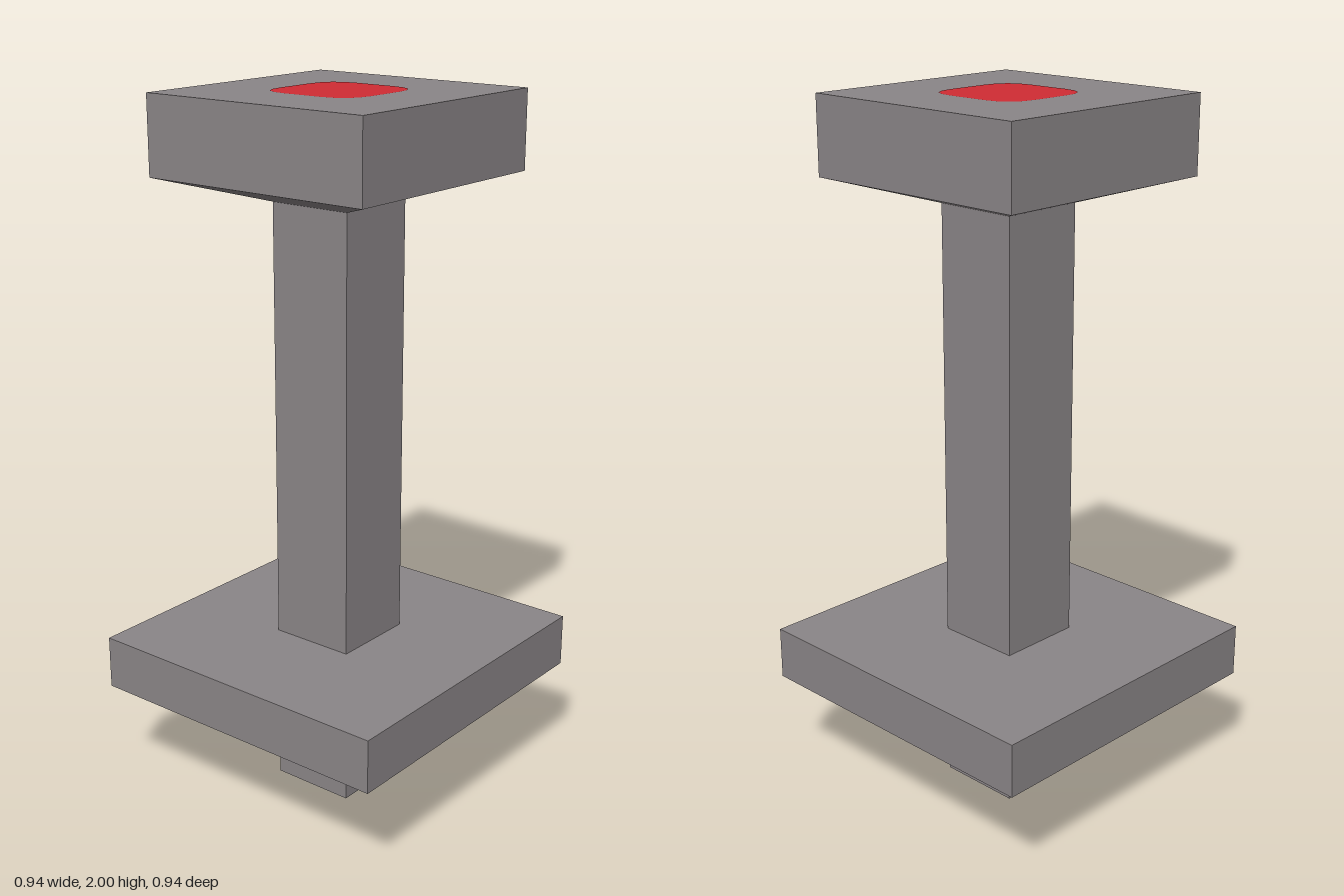
import * as THREE from 'three';

export function createModel() {
  const group = new THREE.Group();
  const stone = new THREE.MeshStandardMaterial({ color: 0x8a8587, flatShading: true });
  const red = new THREE.MeshStandardMaterial({ color: 0xd02c33 });

  const add = (name, geometry, material, y) => {
    const mesh = new THREE.Mesh(geometry, material);
    mesh.name = name;
    mesh.position.y = y;
    group.add(mesh);
    return mesh;
  };
  // Square block given by its half width and its bottom and top heights
  const block = (name, half, y0, y1) =>
    add(name, new THREE.BoxGeometry(half * 2, y1 - y0, half * 2), stone, (y0 + y1) / 2);

  block('post', 0.125, 0, 1.713);
  block('basePlate', 0.47, 0.312, 0.465);
  block('head', 0.352, 1.782, 2);

  // Four-sided flare between post and head
  const flare = new THREE.CylinderGeometry(
    0.352 * Math.SQRT2, 0.125 * Math.SQRT2, 1.782 - 1.713, 4, 1, true);
  flare.rotateY(Math.PI / 4);
  add('headFlare', flare, stone, (1.713 + 1.782) / 2);

  // Rounded-square button lying on top of the head
  const h = 0.15, s = 0.06;
  const outline = new THREE.Shape();
  outline.moveTo(h, -s);
  outline.lineTo(h, s);
  outline.quadraticCurveTo(h, h, s, h);
  outline.lineTo(-s, h);
  outline.quadraticCurveTo(-h, h, -h, s);
  outline.lineTo(-h, -s);
  outline.quadraticCurveTo(-h, -h, -s, -h);
  outline.lineTo(s, -h);
  outline.quadraticCurveTo(h, -h, h, -s);
  const button = new THREE.ShapeGeometry(outline, 4);
  button.rotateX(-Math.PI / 2);
  add('topButton', button, red, 2.001);

  return group;
}
